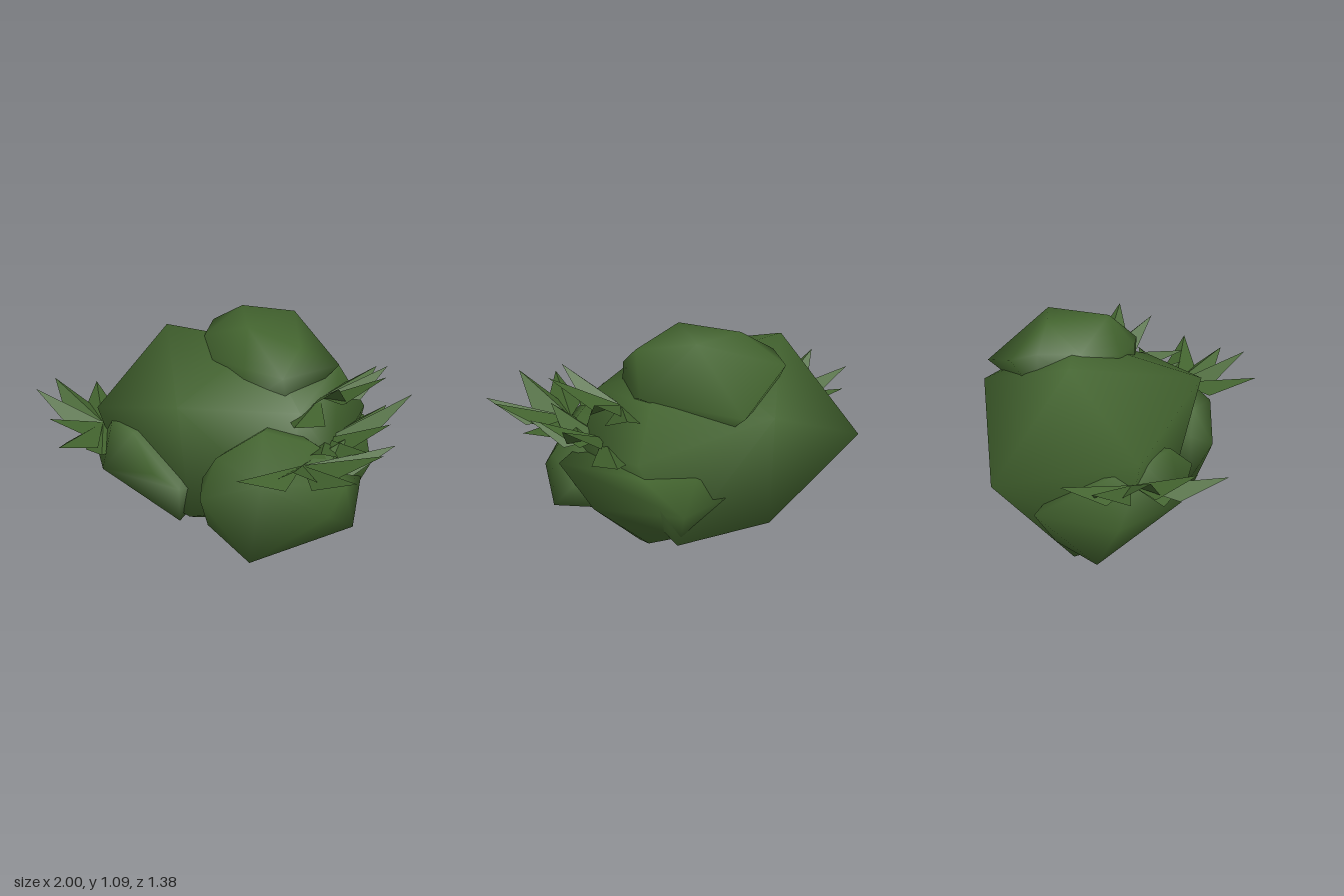
import * as THREE from 'three';
import { ConvexGeometry } from 'three/addons/geometries/ConvexGeometry.js';
import { mergeVertices } from 'three/addons/utils/BufferGeometryUtils.js';

const leafGreen = new THREE.MeshStandardMaterial({ color: 0x43642f, side: THREE.DoubleSide });
leafGreen.name = 'leafGreen';

// Smooth-shaded low-poly clump of foliage spanned by a few corner points
function clump(name, corners) {
  let geo = new ConvexGeometry(corners.map((p) => new THREE.Vector3(...p)));
  geo.deleteAttribute('normal');
  geo = mergeVertices(geo, 1e-4);
  geo.computeVertexNormals();
  const mesh = new THREE.Mesh(geo, leafGreen);
  mesh.name = name;
  return mesh;
}

// Tuft of pointed, folded leaves fanning out from one base point
function tuft(name, base, tips, width = 0.09, fold = 0.06) {
  const b = new THREE.Vector3(...base);
  const up = new THREE.Vector3(0, 1, 0);
  const pos = [];
  for (const t of tips) {
    const tip = new THREE.Vector3(...t);
    const side = tip.clone().sub(b).cross(up).normalize().multiplyScalar(width);
    const mid = b.clone().lerp(tip, 0.5);
    const left = mid.clone().sub(side);
    const right = mid.clone().add(side);
    left.y -= fold;
    right.y -= fold;
    for (const v of [b, left, tip, b, tip, right]) pos.push(v.x, v.y, v.z);
  }
  const geo = new THREE.BufferGeometry();
  geo.setAttribute('position', new THREE.Float32BufferAttribute(pos, 3));
  geo.computeVertexNormals();
  const mesh = new THREE.Mesh(geo, leafGreen);
  mesh.name = name;
  return mesh;
}

export function createModel() {
  const bush = new THREE.Group();
  bush.name = 'bush';

  // Rounded foliage masses
  bush.add(clump('mainFoliage', [
    [-0.42, 0.98, -0.1], [0.1, 0.96, -0.2], [0.04, 0.82, 0.46], [-0.6, 0.6, 0.28],
    [-0.72, 0.48, -0.4], [-0.08, 0.77, -0.64], [0.44, 0.84, -0.4], [0.5, 0.77, 0.1],
    [0.55, 0.6, -0.5], [0.64, 0.52, 0.0], [0.5, 0.3, 0.2], [0.0, 0.15, 0.31],
    [-0.5, 0.15, 0.18], [-0.44, 0.0, -0.08], [0.2, 0.0, -0.12], [-0.1, 0.2, -0.58],
    [0.42, 0.23, -0.64],
  ]));
  bush.add(clump('topFoliage', [
    [-0.08, 1.09, -0.3], [0.19, 1.09, -0.37], [0.12, 1.09, -0.03], [0.38, 1.01, -0.1],
    [0.47, 0.86, -0.35], [0.38, 0.9, 0.06], [0.18, 0.92, 0.09], [-0.02, 0.93, 0.06],
    [-0.18, 0.97, -0.1], [-0.26, 0.98, -0.3], [-0.25, 0.94, -0.44], [0.1, 0.81, -0.68],
    [0.1, 0.68, -0.5], [0.4, 0.72, 0.04], [0.17, 0.72, 0.09], [-0.15, 0.75, 0.0],
    [-0.25, 0.75, -0.3],
  ]));
  bush.add(clump('rightFrontFoliage', [
    [-0.71, 0.35, -0.2], [-0.68, 0.3, 0.2], [-0.65, 0.53, 0.12], [-0.5, 0.57, 0.28],
    [-0.3, 0.57, 0.37], [-0.44, 0.36, 0.45], [-0.12, 0.42, 0.45], [0.01, 0.35, 0.41],
    [-0.07, 0.1, 0.3], [-0.58, 0.05, 0.07], [-0.52, 0.12, -0.15], [-0.2, 0.55, 0.0],
    [0.05, 0.3, 0.15],
  ]));
  bush.add(clump('leftFrontFoliage', [
    [0.14, 0.45, 0.4], [0.2, 0.4, 0.51], [0.22, 0.58, 0.4], [0.4, 0.72, 0.28],
    [0.6, 0.64, 0.12], [0.5, 0.53, 0.45], [0.17, 0.2, 0.4], [0.4, 0.05, 0.38],
    [0.78, 0.21, 0.04], [0.75, 0.35, 0.24], [0.76, 0.46, 0.1], [0.72, 0.4, -0.15],
    [0.5, 0.15, 0.0], [0.15, 0.35, 0.2], [0.35, 0.68, 0.05],
  ]));
  bush.add(clump('leftBackFoliage', [
    [0.41, 0.39, -0.69], [0.12, 0.42, -0.62], [0.4, 0.27, -0.64], [0.54, 0.54, -0.52],
    [0.3, 0.53, -0.6], [0.79, 0.5, -0.1], [0.66, 0.27, -0.2], [0.6, 0.5, 0.08],
    [0.39, 0.0, -0.12], [0.43, 0.09, -0.33], [0.4, 0.1, 0.15], [0.1, 0.05, -0.2],
  ]));

  // Leaf tufts
  bush.add(tuft('rightTuft', [-0.6, 0.5, 0.24], [
    [-1.0, 0.63, 0.15], [-0.92, 0.67, 0.39], [-0.86, 0.58, -0.03],
    [-0.68, 0.62, 0.56], [-0.52, 0.55, 0.68], [-0.45, 0.43, 0.44],
  ]));
  bush.add(tuft('leftFrontTuft', [0.6, 0.58, 0.24], [
    [1.0, 0.73, 0.22], [0.98, 0.68, 0.44], [0.75, 0.74, 0.6],
    [0.52, 0.67, 0.69], [0.94, 0.66, -0.04], [0.68, 0.62, -0.12],
  ]));
  bush.add(tuft('leftMiddleTuft', [0.55, 0.58, -0.08], [
    [0.88, 0.73, -0.1], [0.86, 0.66, 0.1], [0.86, 0.78, -0.38],
    [0.66, 0.62, -0.53], [0.7, 0.67, 0.25],
  ]));
  bush.add(tuft('leftUpperTuft', [0.48, 0.76, -0.14], [
    [0.83, 0.95, -0.13], [0.71, 0.89, -0.4], [0.6, 0.83, -0.51],
    [0.69, 0.93, 0.08], [0.57, 0.78, 0.28],
  ]));

  return bush;
}
